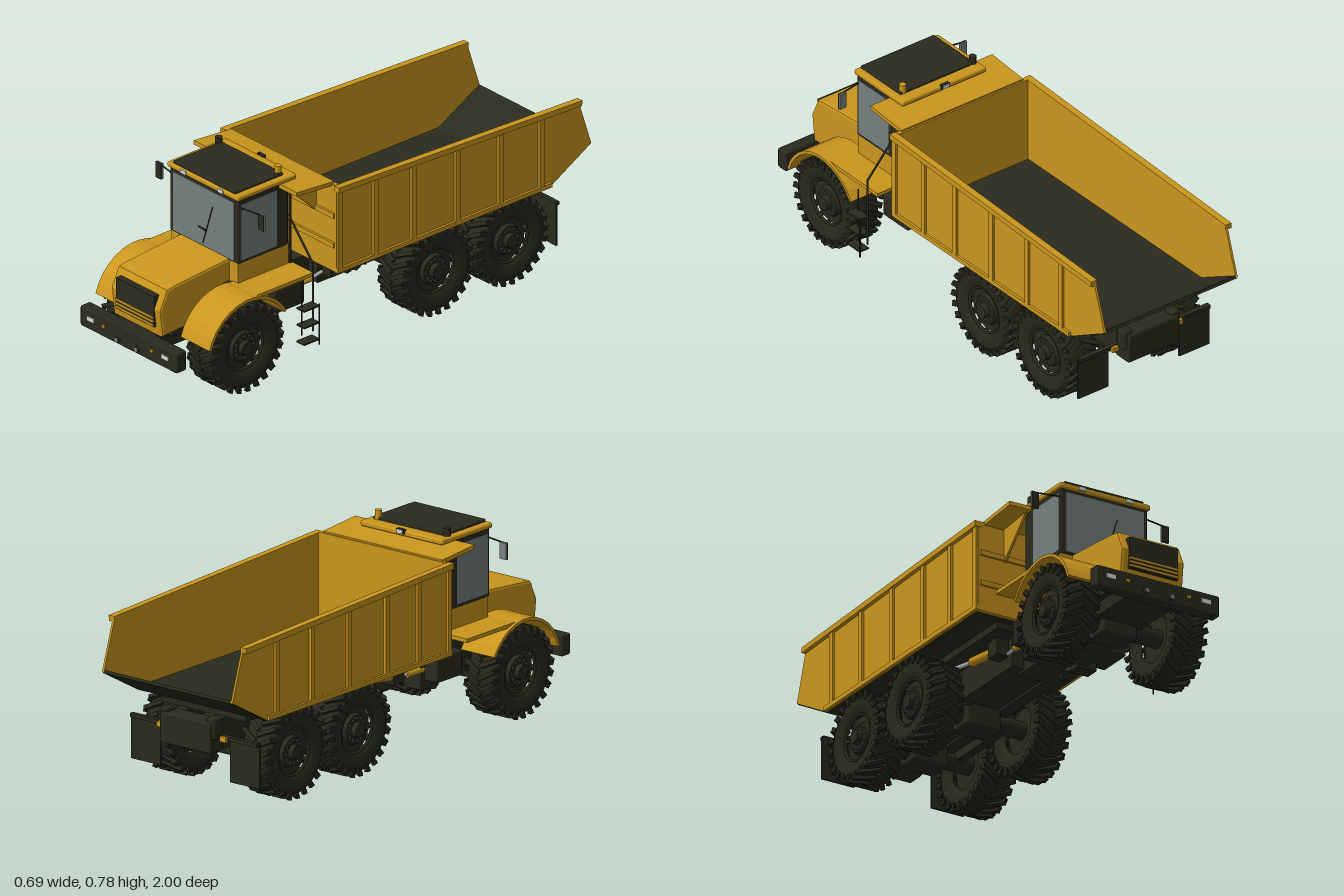
import * as THREE from 'three';
import { mergeGeometries } from 'three/addons/utils/BufferGeometryUtils.js';
import { RoundedBoxGeometry } from 'three/addons/geometries/RoundedBoxGeometry.js';

const mat = (name, color) => {
  const m = new THREE.MeshStandardMaterial({ color });
  m.name = name;
  return m;
};

export function createModel() {
  const yellow = mat('yellow paint', 0xca961d);
  const dark = mat('dark steel', 0x2a2a1e);
  const rubber = mat('tyre rubber', 0x28281d);
  const glass = mat('glass', 0x757f7f);
  const white = mat('lamp white', 0xdcdcde);
  const amber = mat('amber', 0xd49a18);
  const chrome = mat('chrome', 0xbcbcbc);
  const grey = mat('bolt grey', 0x4a4a42);

  const root = new THREE.Group();
  root.name = 'dumpTruck';
  const body = new THREE.Group();
  body.name = 'truck';
  body.position.x = -0.02; // the ladder sticks out on the left
  root.add(body);

  const add = (name, geo, m, parent = body) => {
    const mesh = new THREE.Mesh(geo, m);
    mesh.name = name;
    parent.add(mesh);
    return mesh;
  };
  // box given by its limits
  const box = (name, m, x0, x1, y0, y1, z0, z1, r = 0) => {
    const g = r ? new RoundedBoxGeometry(x1 - x0, y1 - y0, z1 - z0, 2, r)
      : new THREE.BoxGeometry(x1 - x0, y1 - y0, z1 - z0);
    return add(name, g.translate((x0 + x1) / 2, (y0 + y1) / 2, (z0 + z1) / 2), m);
  };
  // the same box on both sides
  const pair = (name, m, x0, x1, ...rest) => {
    box(name + 'Left', m, x0, x1, ...rest);
    box(name + 'Right', m, -x1, -x0, ...rest);
  };
  // side profile of [z, y] points, extruded across x
  const profile = (name, m, pts, x0, x1, bevel = 0) => {
    const shape = new THREE.Shape(pts.map(p => new THREE.Vector2(p[0], p[1])));
    const w = x1 - x0;
    const g = new THREE.ExtrudeGeometry(shape, {
      depth: w - 2 * bevel, bevelEnabled: bevel > 0, bevelSize: bevel, bevelThickness: bevel,
      bevelOffset: -bevel, bevelSegments: 2,
    });
    g.translate(0, 0, -w / 2 + bevel).rotateY(-Math.PI / 2).translate((x0 + x1) / 2, 0, 0);
    return add(name, g, m);
  };
  // round bar between two points
  const rod = (name, m, a, b, r, sides = 8) => {
    const p = new THREE.Vector3(...a), q = new THREE.Vector3(...b);
    const mesh = add(name, new THREE.CylinderGeometry(r, r, p.distanceTo(q), sides), m);
    mesh.position.copy(p).add(q).multiplyScalar(0.5);
    mesh.quaternion.setFromUnitVectors(new THREE.Vector3(0, 1, 0), q.sub(p).normalize());
    return mesh;
  };
  // square beam in the side plane between [z, y] points
  const beam = (name, m, x0, x1, a, b, t) => {
    const dz = b[0] - a[0], dy = b[1] - a[1];
    const g = new THREE.BoxGeometry(x1 - x0, t, Math.hypot(dz, dy));
    g.rotateX(-Math.atan2(dy, dz)).translate((x0 + x1) / 2, (a[1] + b[1]) / 2, (a[0] + b[0]) / 2);
    return add(name, g, m);
  };

  // ---- wheels: lathed tyre, slanted lugs, recessed rim with bolts
  const tyreGeo = new THREE.LatheGeometry([[0.088, -0.05], [0.1, -0.062], [0.14, -0.068], [0.158, -0.062],
    [0.165, -0.04], [0.166, 0], [0.165, 0.04], [0.158, 0.062], [0.14, 0.068], [0.1, 0.062], [0.088, 0.05]]
    .map(p => new THREE.Vector2(...p)), 40).rotateZ(-Math.PI / 2);
  const lugs = [];
  for (let i = 0; i < 24; i++) for (const s of [-1, 1]) {
    const turn = (i + (s > 0 ? 0.5 : 0)) * Math.PI / 12;
    lugs.push(new THREE.BoxGeometry(0.078, 0.016, 0.016).rotateY(s * 0.5).translate(s * 0.035, 0.167, 0).rotateX(turn));
    lugs.push(new THREE.BoxGeometry(0.01, 0.03, 0.016).translate(s * 0.066, 0.155, 0.02).rotateX(turn));
  }
  const lugGeo = mergeGeometries(lugs);
  const disc = (r0, r1, w, x, n = 28) => new THREE.CylinderGeometry(r0, r1, w, n).rotateZ(-Math.PI / 2).translate(x, 0, 0);
  const rimGeo = mergeGeometries([disc(0.09, 0.09, 0.07, 0), disc(0.055, 0.062, 0.016, 0.042),
    disc(0.026, 0.03, 0.024, 0.058), new THREE.TorusGeometry(0.088, 0.006, 6, 32).rotateY(Math.PI / 2).translate(0.05, 0, 0)]);
  const bolts = [];
  for (let i = 0; i < 12; i++) {
    bolts.push(disc(0.005, 0.005, 0.008, 0.053, 6).translate(0, 0.044, 0).rotateX(i * Math.PI / 6));
  }
  const boltGeo = mergeGeometries(bolts);
  for (const [row, z] of [['front', 0.67], ['middle', -0.26], ['rear', -0.62]]) {
    for (const s of [-1, 1]) {
      const wheel = new THREE.Group();
      wheel.name = row + (s > 0 ? 'LeftWheel' : 'RightWheel');
      wheel.position.set(s * 0.232, 0.177, z);
      if (s < 0) wheel.rotation.y = Math.PI;
      body.add(wheel);
      add('tyre', tyreGeo, rubber, wheel);
      add('treadLugs', lugGeo, rubber, wheel);
      add('rim', rimGeo, dark, wheel);
      add('bolts', boltGeo, grey, wheel);
    }
    rod(row + 'Axle', dark, [-0.2, 0.18, z], [0.2, 0.18, z], 0.035, 16);
    box(row + 'Differential', dark, -0.075, 0.075, 0.125, 0.23, z - 0.055, z + 0.055, 0.012);
  }

  // ---- chassis
  box('frontFrame', dark, -0.1, 0.1, 0.18, 0.245, 0.33, 0.94);
  box('engineBay', dark, -0.125, 0.125, 0.23, 0.37, 0.4, 0.88);
  box('cabFloor', dark, -0.155, 0.155, 0.27, 0.374, 0.42, 0.64);
  box('articulationJoint', dark, -0.06, 0.06, 0.19, 0.3, 0.12, 0.41);
  pair('rearRail', dark, 0.06, 0.11, 0.2, 0.317, -0.88, 0.16);
  box('rearFrame', dark, -0.08, 0.08, 0.21, 0.28, -0.88, 0.14);
  box('rearCrossMember', dark, -0.12, 0.12, 0.2, 0.32, -0.9, -0.82, 0.01);
  pair('hingeBracket', dark, 0.09, 0.13, 0.25, 0.335, -0.89, -0.84, 0.01);
  pair('walkingBeam', dark, 0.115, 0.15, 0.17, 0.22, -0.64, -0.24);
  pair('sideTank', dark, 0.12, 0.2, 0.2, 0.3, 0.3, 0.45, 0.01);
  pair('jointBracket', dark, 0.06, 0.14, 0.17, 0.27, 0.28, 0.34);
  pair('mudFlap', dark, 0.165, 0.305, 0.09, 0.26, -0.838, -0.83);
  pair('flapBracket', dark, 0.1, 0.3, 0.25, 0.265, -0.85, -0.83);
  pair('tailLamp', amber, 0.135, 0.163, 0.245, 0.264, -0.862, -0.849);
  for (const s of [-1, 1]) {
    rod('hoistCylinder', yellow, [s * 0.15, 0.27, 0.1], [s * 0.15, 0.288, -0.05], 0.018, 12);
    rod('hoistRod', chrome, [s * 0.15, 0.288, -0.05], [s * 0.15, 0.31, -0.18], 0.009);
    rod('steeringCylinder', yellow, [s * 0.13, 0.245, 0.31], [s * 0.13, 0.245, 0.21], 0.013, 12);
    rod('steeringRod', chrome, [s * 0.13, 0.245, 0.21], [s * 0.12, 0.25, 0.13], 0.007);
    box('hoistMount', dark, s * 0.145 - 0.025, s * 0.145 + 0.025, 0.24, 0.305, 0.09, 0.15);
  }

  // ---- bumper and lamps
  box('bumper', dark, -0.265, 0.265, 0.165, 0.247, 0.935, 0.985, 0.008);
  pair('headlamp', white, 0.185, 0.223, 0.202, 0.219, 0.984, 0.989);
  pair('turnSignal', amber, 0.124, 0.14, 0.205, 0.217, 0.984, 0.99);
  for (const s of [-1, 1]) {
    rod('fogLampHousing', dark, [s * 0.054, 0.189, 0.98], [s * 0.054, 0.189, 0.996], 0.011, 16);
    rod('fogLamp', glass, [s * 0.054, 0.189, 0.99], [s * 0.054, 0.189, 0.998], 0.01, 16);
  }

  // ---- hood with grille
  profile('hood', yellow, [[0.6, 0.27], [0.937, 0.25], [0.95, 0.36], [0.915, 0.435], [0.88, 0.442], [0.6, 0.465]],
    -0.135, 0.135, 0.01);
  box('grille', dark, -0.104, 0.104, 0.285, 0.41, 0.92, 0.953);
  for (const y of [0.294, 0.309, 0.324]) {
    box('grilleBar', yellow, -0.104, 0.104, y - 0.004, y + 0.004, 0.95, 0.956);
  }

  // ---- front fenders
  const arch = [];
  const arc = (r, i) => {
    const a = (0.09 + 0.75 * i / 12) * Math.PI;
    return [0.67 + r * Math.cos(a), 0.18 + r * Math.sin(a)];
  };
  for (let i = 0; i <= 12; i++) arch.push(arc(0.205, i));
  for (let i = 12; i >= 0; i--) arch.push(arc(0.193, i));
  profile('fenderLeft', yellow, arch, 0.155, 0.312);
  profile('fenderRight', yellow, arch, -0.312, -0.155);
  pair('platform', yellow, 0.157, 0.3, 0.365, 0.38, 0.35, 0.64);

  // ---- cab
  box('cabBase', yellow, -0.183, 0.183, 0.375, 0.462, 0.36, 0.612);
  box('cabFrame', dark, -0.187, 0.187, 0.458, 0.72, 0.37, 0.615, 0.006);
  box('windshield', glass, -0.168, 0.168, 0.467, 0.705, 0.613, 0.618);
  box('rearWindow', glass, -0.15, 0.15, 0.5, 0.69, 0.367, 0.372);
  pair('sideWindow', glass, 0.184, 0.189, 0.472, 0.7, 0.428, 0.604);
  box('roof', yellow, -0.195, 0.195, 0.718, 0.74, 0.335, 0.624, 0.008);
  box('roofCap', dark, -0.17, 0.17, 0.738, 0.75, 0.38, 0.616, 0.004);
  pair('roofLamp', white, 0.088, 0.116, 0.723, 0.737, 0.622, 0.628);
  box('rearWorkLamp', dark, -0.018, 0.018, 0.728, 0.746, 0.328, 0.342);
  box('rearWorkLampLens', white, -0.014, 0.014, 0.73, 0.744, 0.325, 0.329);
  rod('beacon', amber, [0.152, 0.738, 0.39], [0.152, 0.776, 0.39], 0.013, 14);
  rod('airIntake', dark, [-0.172, 0.738, 0.39], [-0.172, 0.77, 0.39], 0.014, 14);
  rod('rearDoorPost', dark, [0.19, 0.385, 0.365], [0.19, 0.715, 0.365], 0.005);
  rod('wiperArm', dark, [0, 0.48, 0.621], [0.053, 0.645, 0.621], 0.002);
  rod('wiperPivot', dark, [-0.025, 0.537, 0.621], [0.02, 0.537, 0.621], 0.003);
  for (const s of [-1, 1]) {
    rod('mirrorArm', dark, [s * 0.185, 0.687, 0.605], [s * 0.285, 0.687, 0.585], 0.003);
    box('mirrorShell', dark, s * 0.28 - 0.015, s * 0.28 + 0.015, 0.625, 0.69, 0.585, 0.589);
    box('mirrorGlass', glass, s * 0.28 - 0.015, s * 0.28 + 0.015, 0.626, 0.689, 0.578, 0.585);
  }

  // ---- ladder and handrail on the left side
  for (const y of [0.14, 0.208, 0.276]) box('ladderStep', dark, 0.32, 0.363, y - 0.003, y + 0.003, 0.375, 0.45);
  rod('ladderOuterRail', dark, [0.362, 0.118, 0.375], [0.362, 0.284, 0.375], 0.003);
  rod('ladderInnerRail', dark, [0.327, 0.16, 0.43], [0.327, 0.37, 0.43], 0.003);
  rod('handrailPost', dark, [0.327, 0.16, 0.375], [0.327, 0.435, 0.375], 0.004);
  rod('handrail', dark, [0.327, 0.435, 0.375], [0.192, 0.587, 0.375], 0.004);

  // ---- dump bed
  const topY = z => 0.703 - (0.245 - z) * 0.042;
  const wall = [[0.245, 0.345], [-0.8, 0.345], [-0.998, 0.456], [-0.935, 0.652], [0.245, 0.695]];
  box('bedFrontWall', yellow, -0.3, 0.3, 0.345, 0.7, 0.225, 0.243);
  for (const y of [0.455, 0.575]) box('frontWallRib', yellow, -0.3, 0.3, y - 0.01, y + 0.01, 0.24, 0.252);
  profile('bedFloor', dark, [[0.226, 0.342], [-0.8, 0.342], [-0.999, 0.453], [-0.995, 0.464], [-0.795, 0.356], [0.226, 0.356]],
    -0.304, 0.304);
  box('bedUnderframe', dark, -0.2, 0.2, 0.315, 0.343, -0.79, 0.2);
  for (const s of [-1, 1]) {
    const side = (a, b) => s > 0 ? [a, b] : [-b, -a];
    profile('bedSideWall', yellow, wall, ...side(0.3, 0.309));
    for (const z of [0.232, 0.06, -0.125, -0.34, -0.55, -0.75]) {
      const [x0, x1] = side(0.306, 0.319);
      box('bedRib', yellow, x0, x1, 0.347, topY(z) - 0.01, z - 0.011, z + 0.011);
    }
    beam('bedTopRail', yellow, ...side(0.298, 0.325), [0.247, 0.688], [-0.94, 0.644], 0.022);
    beam('bedBottomRail', yellow, ...side(0.302, 0.319), [0.245, 0.355], [-0.8, 0.355], 0.018);
    // spill guard gusset
    profile('spillGuardGusset', yellow, [[0.245, 0.56], [0.4, 0.71], [0.245, 0.7]], ...side(0.19, 0.2));
  }
  // spill guard reaching over the cab
  beam('spillGuard', yellow, -0.282, 0.282, [0.232, 0.698], [0.415, 0.713], 0.016);

  return root;
}
